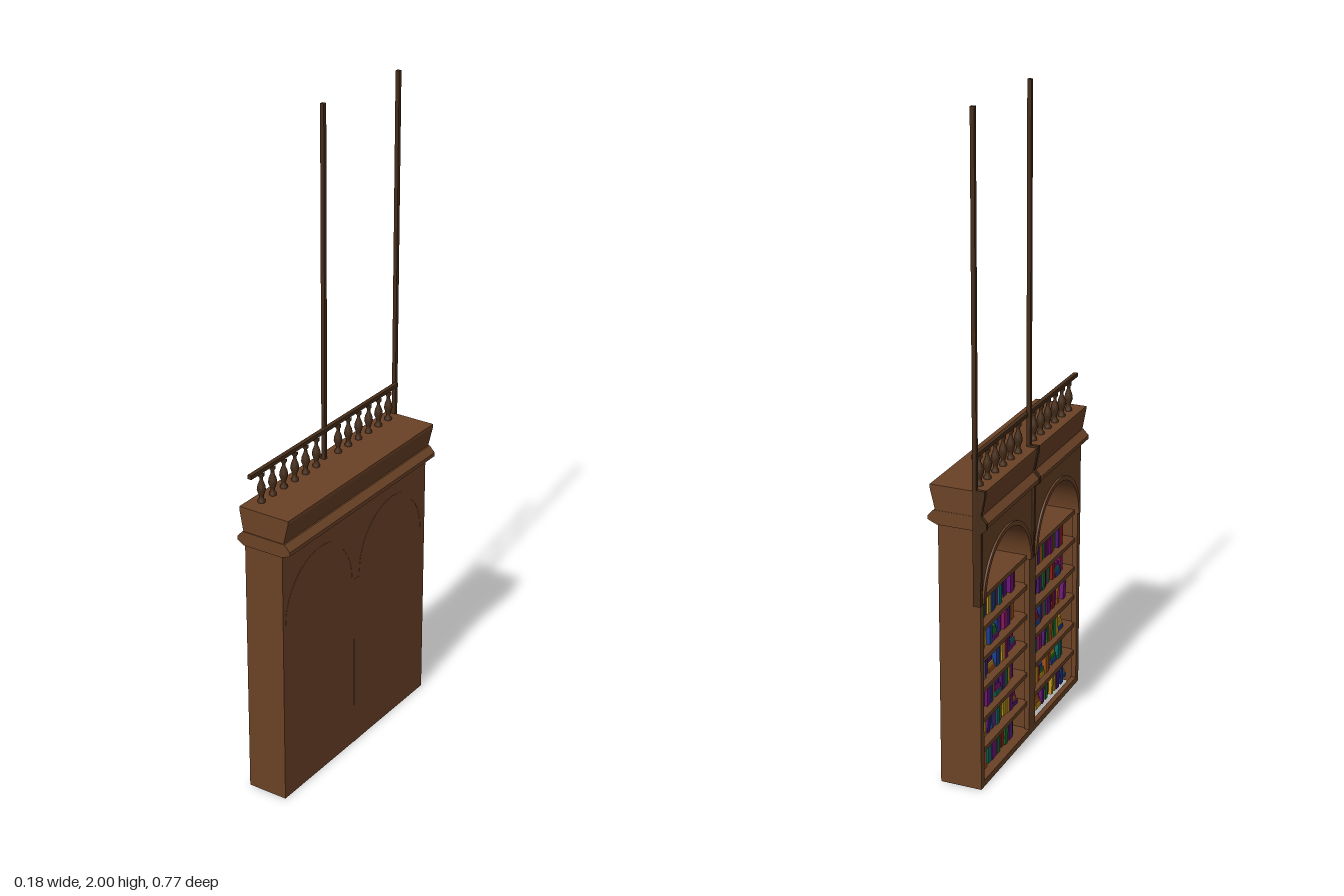
import * as THREE from 'three';

const wood = new THREE.MeshStandardMaterial({ color: 0x6b4226 });
const darkWood = new THREE.MeshStandardMaterial({ color: 0x462d1a });
const bookMaterials = [0x6a1478, 0x1d3f8f, 0x0f6b62, 0x1f6b2a, 0x8c1c1c, 0xb8901a, 0x4a1a6e, 0xa0521a, 0x8a1560]
  .map((color) => new THREE.MeshStandardMaterial({ color }));

const HALF = 0.375;     // half length along z
const FRONT = -0.068;   // shelf side
const BACK = 0.06;
const SPRING = 0.585;   // height where the arches start
const RADIUS = 0.165;
const BAY = 0.188;      // z centre of each bay

function createModel() {
  const model = new THREE.Group();
  model.name = 'archedBookcase';

  const add = (name, geometry, material = wood, parent = model) => {
    const mesh = new THREE.Mesh(geometry, material);
    mesh.name = name;
    parent.add(mesh);
    return mesh;
  };
  // Box given by its limits
  const box = (name, x0, x1, y0, y1, z0, z1, material, parent) => {
    const mesh = add(name, new THREE.BoxGeometry(x1 - x0, y1 - y0, z1 - z0), material, parent);
    mesh.position.set((x0 + x1) / 2, (y0 + y1) / 2, (z0 + z1) / 2);
    return mesh;
  };
  // Profile in x and y, extended along z
  const alongZ = (name, points, z0, z1, material) => {
    const shape = new THREE.Shape(points.map((p) => new THREE.Vector2(...p)));
    const geometry = new THREE.ExtrudeGeometry(shape, { depth: z1 - z0, bevelEnabled: false });
    add(name, geometry.translate(0, 0, z0), material);
  };
  // Shape in z and y, extended along x
  const alongX = (name, shape, x0, x1, material) => {
    const geometry = new THREE.ExtrudeGeometry(shape, { depth: x1 - x0, bevelEnabled: false, curveSegments: 24 });
    add(name, geometry.rotateY(-Math.PI / 2).translate(x1, 0, 0), material);
  };

  // Carcass
  box('backPanel', BACK - 0.012, BACK, 0, 0.82, -HALF, HALF);
  for (const s of [-1, 1]) {
    const z = s * (HALF - 0.008);
    box('endPanel', FRONT, BACK, 0, 0.82, z - 0.008, z + 0.008);
  }
  box('divider', FRONT, BACK + 0.0008, 0, 0.57, -0.012, 0.012);
  box('floor', FRONT, BACK, 0, 0.018, -HALF, 0);

  // Front face with two arched openings
  const face = new THREE.Shape();
  face.moveTo(-HALF, 0).lineTo(HALF, 0).lineTo(HALF, 0.82).lineTo(-HALF, 0.82).closePath();
  for (const c of [-BAY, BAY]) {
    const hole = new THREE.Path();
    hole.moveTo(c - RADIUS, 0.02).lineTo(c + RADIUS, 0.02).lineTo(c + RADIUS, SPRING);
    hole.absarc(c, SPRING, RADIUS, 0, Math.PI, false);
    hole.closePath();
    face.holes.push(hole);
  }
  alongX('frontFrame', face, FRONT, FRONT + 0.016);

  // Arch linings, raised slightly from the front
  for (const c of [-BAY, BAY]) {
    const band = new THREE.Shape();
    band.absarc(c, SPRING, RADIUS + 0.01, 0, Math.PI, false);
    band.absarc(c, SPRING, RADIUS - 0.004, Math.PI, 0, true);
    band.closePath();
    alongX('archLining', band, FRONT - 0.006, BACK + 0.0008);
  }

  // Cornice: ledge and flared top
  alongZ('corniceLedge', [[-0.07, 0.812], [0.062, 0.812], [0.09, 0.824], [0.09, 0.836], [0.072, 0.855],
    [-0.072, 0.855], [-0.09, 0.836], [-0.09, 0.824]], -0.379, 0.381);
  alongZ('corniceTop', [[-0.07, 0.85], [0.066, 0.85], [0.083, 0.92], [0.083, 0.93],
    [-0.083, 0.93], [-0.083, 0.92]], -0.378, 0.378);

  // Tall poles, following the cornice at their feet
  const pole = [[-0.05, SPRING], [-0.05, 2], [-0.062, 2], [-0.062, 0.936], [-0.087, 0.936], [-0.087, 0.92],
    [-0.075, 0.86], [-0.092, 0.84], [-0.092, 0.822], [-0.076, 0.808], [-0.073, SPRING]];
  for (const z of [-0.379, -0.002]) alongZ('pole', pole.slice().reverse(), z - 0.006, z + 0.006, darkWood);

  // Railing
  box('handrail', -0.055, -0.042, 1.022, 1.034, -HALF, HALF, darkWood);
  const profile = [[0.011, 0], [0.011, 0.008], [0.006, 0.014], [0.007, 0.022], [0.013, 0.04], [0.011, 0.054],
    [0.005, 0.07], [0.005, 0.078], [0.009, 0.083], [0.009, 0.095]].map((p) => new THREE.Vector2(...p));
  const balusterGeometry = new THREE.LatheGeometry(profile, 14);
  for (const start of [-0.33, 0.052]) {
    for (let i = 0; i < 6; i++) {
      add('baluster', balusterGeometry, darkWood).position.set(-0.047, 0.929, start + i * 0.054);
    }
  }

  // Shelves and books
  let seed = 7;
  const random = () => (seed = (seed * 16807) % 2147483647) / 2147483647;
  const step = 0.0965;
  for (const c of [-BAY, BAY]) {
    const z0 = c - RADIUS, z1 = c + RADIUS;
    for (let row = 0; row < 6; row++) {
      const y = 0.018 + row * step;
      const top = y + step;
      box('shelf', FRONT + 0.008, BACK - 0.01, top - 0.014, top, z0 - 0.008, z1 + 0.008);
      const books = new THREE.Group();
      books.name = 'bookRow';
      model.add(books);
      let z = z0 + 0.004;
      while (z < z1 - 0.04) {
        const material = bookMaterials[Math.floor(random() * bookMaterials.length)];
        const front = -0.042 + random() * 0.012;
        if (random() < 0.12) {
          // Lying stack
          for (let k = 0; k < 3; k++) {
            const m = bookMaterials[Math.floor(random() * bookMaterials.length)];
            box('lyingBook', front + k * 0.003, 0.03, y + k * 0.014, y + k * 0.014 + 0.013, z, z + 0.042 - k * 0.003, m, books);
          }
          z += 0.046;
        } else {
          const width = 0.012 + random() * 0.012;
          const height = 0.052 + random() * 0.02;
          const book = box('book', front, 0.03, y, y + height, z, z + width, material, books);
          if (random() < 0.15) {
            book.rotation.x = 0.15;
            z += 0.008;
          }
          z += width + 0.001 + (random() < 0.1 ? 0.012 : 0);
        }
      }
    }
  }
  return model;
}

export { createModel };
